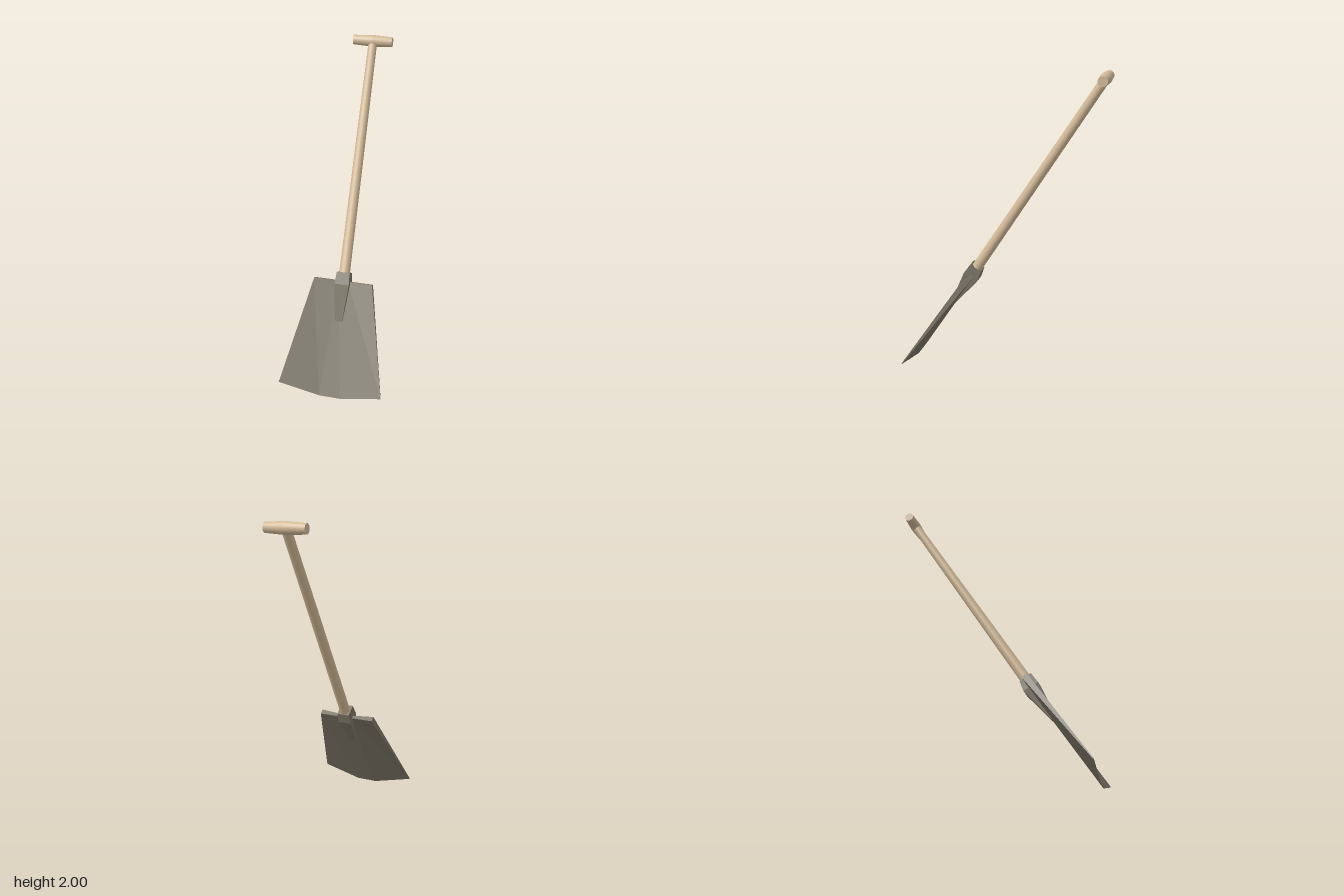
import * as THREE from 'three';

const wood = new THREE.MeshStandardMaterial({ color: 0xd2b997 });
wood.name = 'paleWood';
const iron = new THREE.MeshStandardMaterial({ color: 0x7a7466 });
iron.name = 'dullIron';

// Flat-faced solid through cross-sections listed from top to bottom.
// Each section is half a front edge (x, y, z from centre outward) and its back edge, mirrored in x.
function loft(sections) {
  const rings = sections.map(({ front, back }) => {
    const flip = p => [-p[0], p[1], p[2]];
    const out = list => [...[...list].reverse().map(flip), ...list];
    return [...out(front), ...out(back).reverse()];
  });
  const positions = [];
  const quad = (a, b, c, d) => positions.push(...a, ...b, ...c, ...a, ...c, ...d);
  const n = rings[0].length;
  for (let r = 0; r < rings.length - 1; r++) {
    const T = rings[r], B = rings[r + 1];
    for (let i = 0; i < n; i++) {
      const j = (i + 1) % n;
      quad(T[i], B[i], B[j], T[j]);
    }
  }
  const T = rings[0], B = rings[rings.length - 1];
  for (let i = 0; i < n / 2 - 1; i++) {
    quad(T[i], T[i + 1], T[n - 2 - i], T[n - 1 - i]);
    quad(B[n - 1 - i], B[n - 2 - i], B[i + 1], B[i]);
  }
  const geometry = new THREE.BufferGeometry();
  geometry.setAttribute('position', new THREE.Float32BufferAttribute(positions, 3));
  geometry.computeVertexNormals();
  return geometry;
}

function add(parent, name, geometry, material) {
  const mesh = new THREE.Mesh(geometry, material);
  mesh.name = name;
  parent.add(mesh);
  return mesh;
}

export function createModel() {
  const model = new THREE.Group();
  model.name = 'shovel';

  // Dished blade, thick at the shoulders and thin at the cutting edge
  add(model, 'blade', loft([
    { front: [[0.03, 0.643, 0.235], [0.19, 0.652, 0.248]],
      back: [[0.03, 0.632, 0.215], [0.19, 0.632, 0.215]] },
    { front: [[0.07, 0.005, 0.627], [0.335, 0.07, 0.634]],
      back: [[0.07, 0.002, 0.623], [0.335, 0.067, 0.63]] },
  ]), iron);

  // Socket gripping the shaft and tapering down the blade
  add(model, 'socket', loft([
    { front: [[0.042, 0.714, 0.238]], back: [[0.042, 0.667, 0.166]] },
    { front: [[0.046, 0.65, 0.282]], back: [[0.046, 0.6, 0.19]] },
    { front: [[0.025, 0.43, 0.378]], back: [[0.025, 0.412, 0.352]] },
  ]), iron);

  // Slanted shaft, slightly thicker toward the socket
  const top = new THREE.Vector3(0, 1.963, -0.598);
  const bottom = new THREE.Vector3(0, 0.64, 0.23);
  const axis = top.clone().sub(bottom);
  const shaft = add(model, 'shaft',
    new THREE.CylinderGeometry(0.028, 0.035, axis.length(), 20), wood);
  shaft.position.copy(top).add(bottom).multiplyScalar(0.5);
  shaft.quaternion.setFromUnitVectors(new THREE.Vector3(0, 1, 0), axis.normalize());

  // Cross grip, two halves tapering outward
  const grip = new THREE.Group();
  grip.name = 'grip';
  grip.position.copy(top);
  for (const side of [-1, 1]) {
    const half = add(grip, side > 0 ? 'leftGrip' : 'rightGrip',
      new THREE.CylinderGeometry(0.03, 0.037, 0.127, 20), wood);
    half.position.x = side * 0.0635;
    half.rotation.z = -side * Math.PI / 2;
  }
  model.add(grip);

  return model;
}
